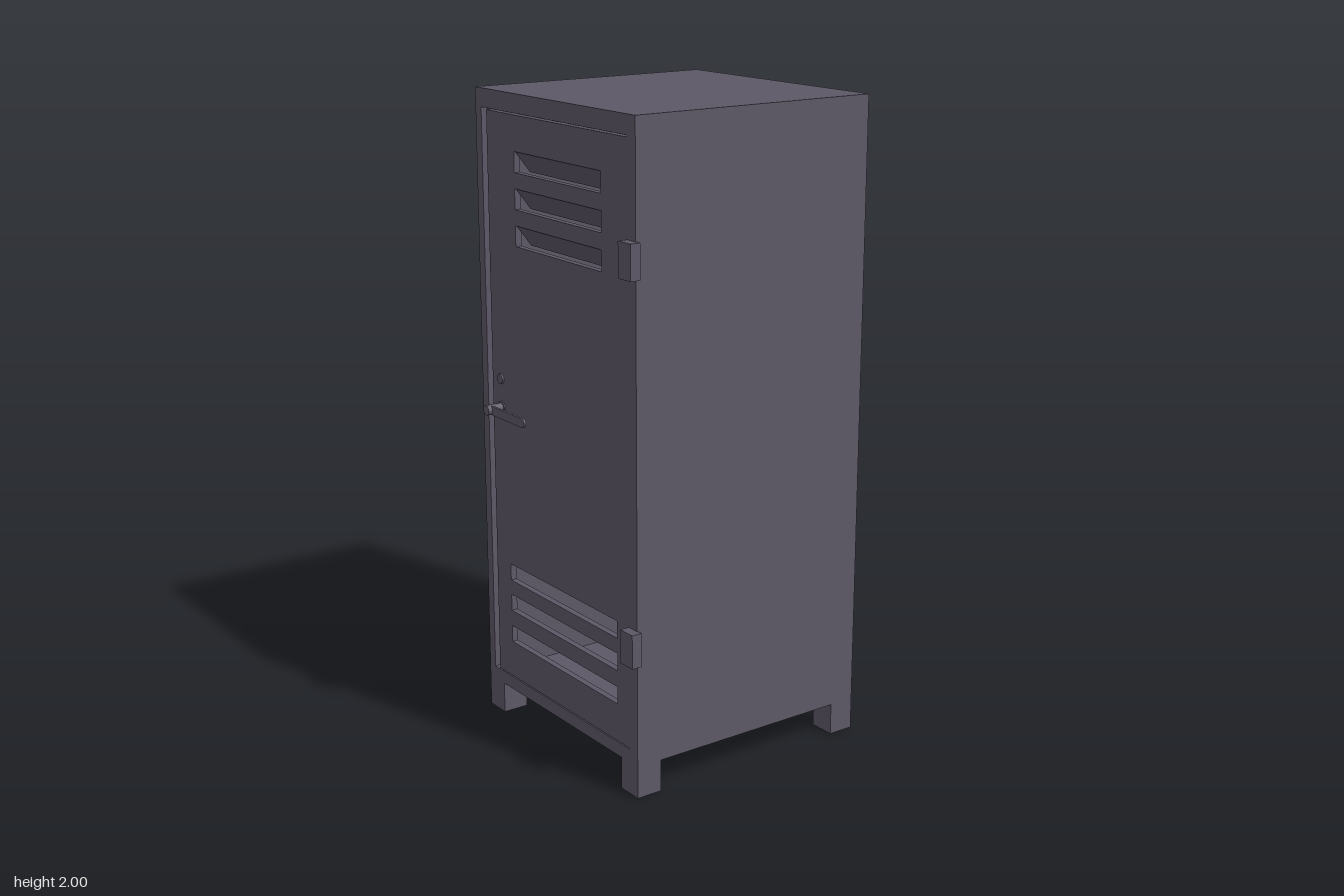
import * as THREE from 'three';

export function createModel() {
  const steel = new THREE.MeshStandardMaterial({ color: 0x5c5766 });
  steel.name = 'grey steel';

  const model = new THREE.Group();
  model.name = 'locker';
  // The cabinet stands slightly turned; its hinges stay square to the axes
  const cabinet = new THREE.Group();
  cabinet.name = 'cabinet';
  cabinet.position.set(-0.002, 0, -0.0235);
  cabinet.rotation.y = -0.018;
  model.add(cabinet);

  const H = 0.414, T = 0.02, BASE = 0.1, TOP = 2;

  function add(parent, name, geometry, x = 0, y = 0, z = 0) {
    const mesh = new THREE.Mesh(geometry, steel);
    mesh.name = name;
    mesh.position.set(x, y, z);
    parent.add(mesh);
    return mesh;
  }
  // Box given by its lower and upper corners
  function box(parent, name, x0, x1, y0, y1, z0, z1) {
    return add(parent, name, new THREE.BoxGeometry(x1 - x0, y1 - y0, z1 - z0),
      (x0 + x1) / 2, (y0 + y1) / 2, (z0 + z1) / 2);
  }
  function rect(Type, x0, x1, y0, y1) {
    const s = new Type();
    s.moveTo(x0, y0);
    s.lineTo(x1, y0);
    s.lineTo(x1, y1);
    s.lineTo(x0, y1);
    s.closePath();
    return s;
  }
  function sheet(name, outline, holes) {
    outline.holes.push(...holes);
    const g = new THREE.ExtrudeGeometry(outline, { depth: T, bevelEnabled: false });
    return add(cabinet, name, g, 0, 0, H - T);
  }

  // Hollow shell
  box(cabinet, 'backPanel', -H, H, BASE, TOP, -H, -H + T);
  box(cabinet, 'floorPanel', -H + T, H - T, BASE, BASE + T, -H + T, H - T);
  box(cabinet, 'topPanel', -H + T, H - T, TOP - T, TOP, -H + T, H - T);
  for (const s of [-1, 1]) {
    const a = s * H, b = s * (H - T);
    box(cabinet, s > 0 ? 'leftPanel' : 'rightPanel',
      Math.min(a, b), Math.max(a, b), BASE, TOP, -H + T, H - T);
  }

  // Front frame, with stops that close the gaps around the door
  const D = { x0: -0.353, x1: 0.373, y0: 0.146, y1: 1.938 };
  sheet('frontFrame', rect(THREE.Shape, -H, H, BASE, TOP),
    [rect(THREE.Path, -0.382, D.x1, 0.142, 1.943)]);
  const zs = H - T;
  box(cabinet, 'sideStop', -0.394, -0.335, 0.13, 1.955, zs - 0.012, zs);
  box(cabinet, 'topStop', -0.335, 0.394, 1.925, 1.955, zs - 0.012, zs);
  box(cabinet, 'bottomStop', -0.335, 0.394, 0.12, 0.16, zs - 0.012, zs);

  // Door with three louvres above and three open vents below
  const vents = [];
  for (const y of [1.8, 1.69, 1.58]) {
    vents.push(rect(THREE.Path, -0.202, 0.248, y - 0.031, y + 0.031));
    // Slat leaning inward from the top edge of its opening
    const slat = new THREE.Shape();
    slat.moveTo(0, 0.031);
    slat.lineTo(-0.05, -0.034);
    slat.lineTo(-0.056, -0.034);
    slat.lineTo(-0.006, 0.031);
    const g = new THREE.ExtrudeGeometry(slat, { depth: 0.45, bevelEnabled: false });
    g.rotateY(-Math.PI / 2);
    // Shape x now runs along z
    add(cabinet, 'louvreSlat', g, 0.248, y, H - 0.004);
  }
  for (const y of [0.5, 0.398, 0.292]) {
    vents.push(rect(THREE.Path, -0.272, 0.313, y - 0.027, y + 0.027));
  }
  sheet('door', rect(THREE.Shape, D.x0, D.x1, D.y0, D.y1), vents);

  // Feet
  const F = 0.084;
  for (const sx of [-1, 1]) for (const sz of [-1, 1]) {
    add(cabinet, 'foot', new THREE.BoxGeometry(F, BASE, F),
      sx * (H - F / 2), BASE / 2, sz * (H - F / 2));
  }

  // Handle: collar, spindle and a flat round-ended lever
  function disc(name, r, depth, y) {
    const g = new THREE.CylinderGeometry(r, r, depth, 16);
    g.rotateX(Math.PI / 2);
    return add(cabinet, name, g, -0.303, y, H + depth / 2);
  }
  disc('handleCollar', 0.021, 0.004, 1.03);
  disc('handleSpindle', 0.016, 0.057, 1.03);
  disc('lockCylinder', 0.016, 0.006, 1.122);
  const lever = new THREE.Shape();
  lever.moveTo(-0.303, -0.014);
  lever.lineTo(-0.12, -0.014);
  lever.absarc(-0.12, 0, 0.014, -Math.PI / 2, Math.PI / 2, false);
  lever.lineTo(-0.303, 0.014);
  lever.closePath();
  add(cabinet, 'handleLever',
    new THREE.ExtrudeGeometry(lever, { depth: 0.008, bevelEnabled: false, curveSegments: 8 }),
    0, 1.03, H + 0.036);

  // Hinges
  for (const y of [0.475, 1.607]) {
    box(model, 'hinge', 0.362, 0.42, y - 0.052, y + 0.052, 0.394, 0.427);
  }
  return model;
}
